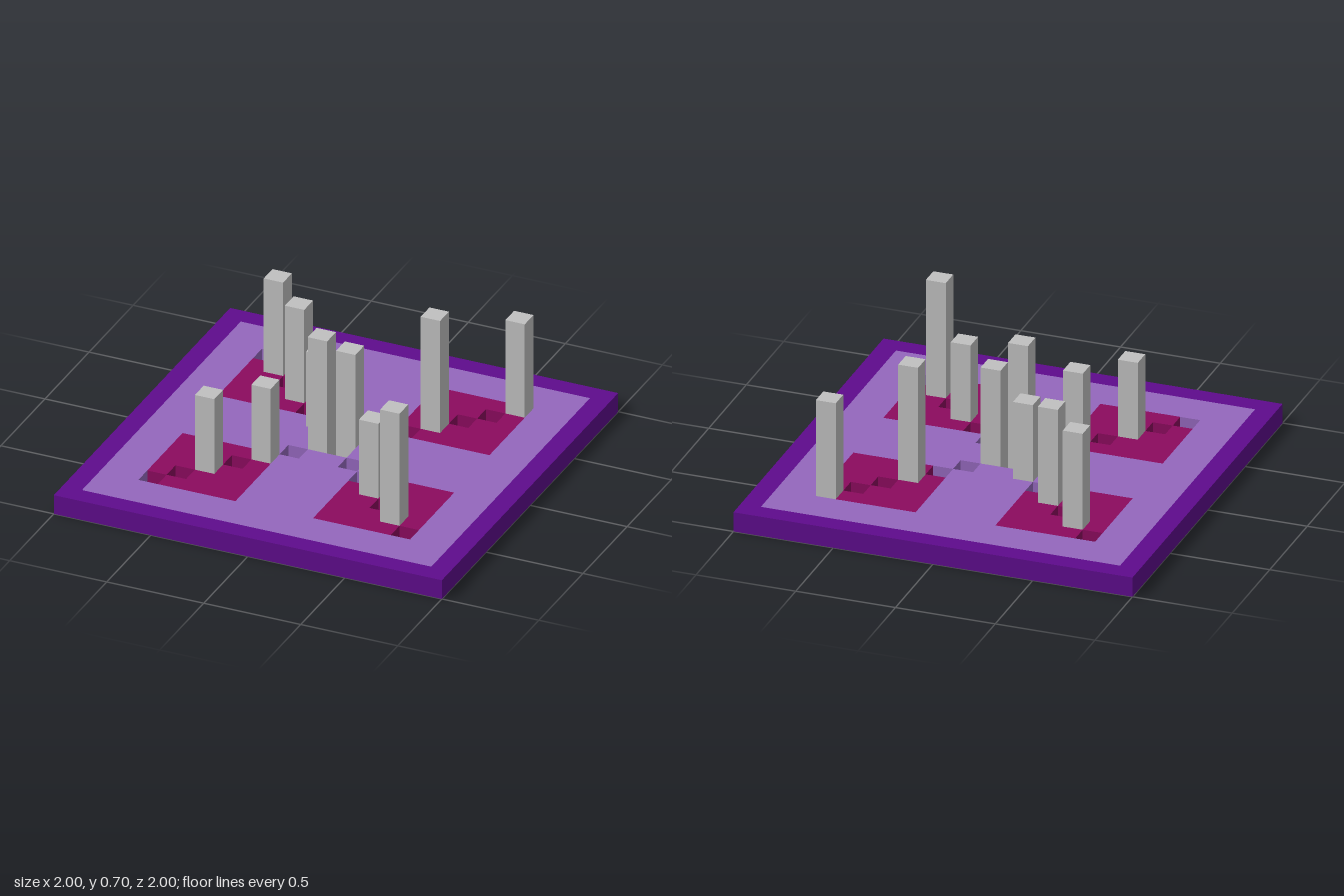
import * as THREE from 'three';
import { mergeGeometries } from 'three/addons/utils/BufferGeometryUtils.js';

const N = 20, U = 0.1; // board cells per side, cell size
const at = i => (i - N / 2 + 0.5) * U; // centre of cell i

// Columns: x, z, height of the top
const COLUMNS = [
  [-0.55, -0.55, 0.6], [-0.35, -0.35, 0.6], [-0.15, -0.15, 0.5],
  [0.35, 0.35, 0.5], [0.55, 0.55, 0.7],
  [0.65, -0.65, 0.6], [0.35, -0.35, 0.7], [0.05, -0.05, 0.6],
  [-0.05, 0.05, 0.7], [-0.25, 0.25, 0.5], [-0.45, 0.45, 0.5],
];

// Which part of the board a cell belongs to; null for the diagonal cut-outs
function zone(i, j) {
  if (i < 0 || j < 0 || i >= N || j >= N) return null;
  const x = Math.abs(at(i)), z = Math.abs(at(j));
  if (x < 0.7 && Math.abs(x - z) < 0.01) return null;
  if (Math.max(x, z) > 0.9) return 'rim';
  return Math.min(x, z) > 0.2 && Math.max(x, z) < 0.7 ? 'squares' : 'panel';
}

// Outer faces of all cells in one zone
function zoneGeometry(name) {
  const faces = [];
  const face = (x, y, z, rx, ry) =>
    faces.push(new THREE.PlaneGeometry(U, U).rotateX(rx).rotateY(ry).translate(x, y, z));
  for (let i = 0; i < N; i++) {
    for (let j = 0; j < N; j++) {
      if (zone(i, j) !== name) continue;
      const x = at(i), z = at(j);
      face(x, U, z, -Math.PI / 2, 0);
      face(x, 0, z, Math.PI / 2, 0);
      for (const [dx, dz] of [[1, 0], [-1, 0], [0, 1], [0, -1]]) {
        if (zone(i + dx, j + dz) === null) {
          face(x + dx * U / 2, U / 2, z + dz * U / 2, 0, Math.atan2(dx, dz));
        }
      }
    }
  }
  return mergeGeometries(faces);
}

export function createModel() {
  const model = new THREE.Group();
  const material = (name, color) => {
    const m = new THREE.MeshStandardMaterial({ color });
    m.name = name;
    return m;
  };
  const add = (name, geometry, mat) => {
    const mesh = new THREE.Mesh(geometry, mat);
    mesh.name = name;
    model.add(mesh);
    return mesh;
  };

  // Board: dark rim, light panel and four inlaid squares
  add('rim', zoneGeometry('rim'), material('dark purple', 0x5e0b8c));
  add('panel', zoneGeometry('panel'), material('lavender', 0x9467bd));
  add('squares', zoneGeometry('squares'), material('magenta', 0x8b0a5e));

  // Columns standing in some of the cut-outs
  const grey = material('grey', 0xc0c0c0);
  for (const [x, z, h] of COLUMNS) {
    add('column', new THREE.BoxGeometry(U, h, U), grey).position.set(x, h / 2, z);
  }
  return model;
}
